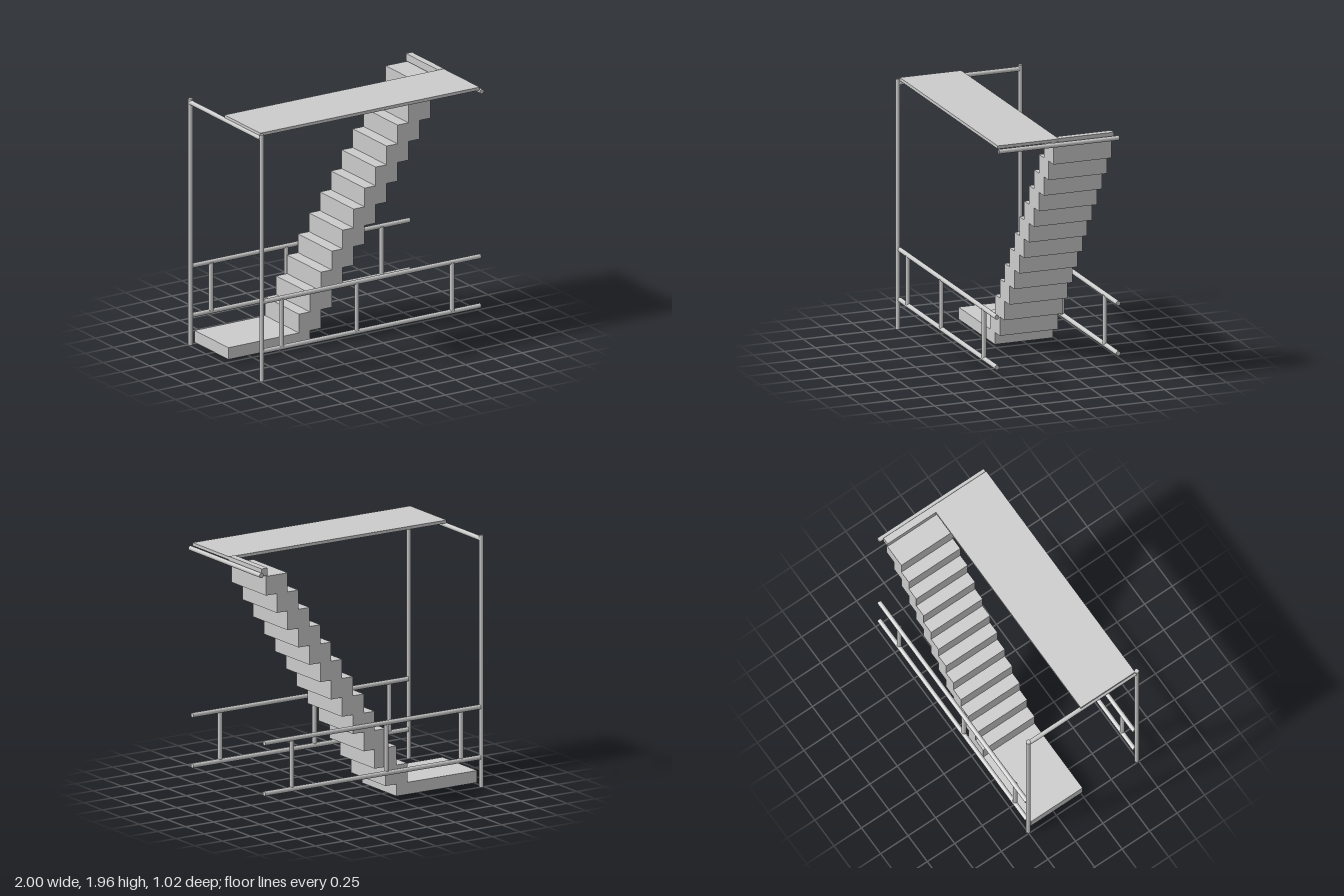
import * as THREE from 'three';

const material = new THREE.MeshStandardMaterial({ color: 0xcccccc });
const R = 0.018; // tube radius

export function createModel() {
  const model = new THREE.Group();
  model.name = 'staircaseFrame';

  const add = (name, geometry) => {
    const mesh = new THREE.Mesh(geometry, material);
    mesh.name = name;
    model.add(mesh);
    return mesh;
  };

  // Box given by its extents on each axis
  const box = (name, [x0, x1], [y0, y1], [z0, z1]) => {
    add(name, new THREE.BoxGeometry(x1 - x0, y1 - y0, z1 - z0))
      .position.set((x0 + x1) / 2, (y0 + y1) / 2, (z0 + z1) / 2);
  };

  // Round bar between two points
  const bar = (name, from, to) => {
    const a = new THREE.Vector3(...from);
    const b = new THREE.Vector3(...to);
    const mesh = add(name, new THREE.CylinderGeometry(R, R, a.distanceTo(b), 16));
    mesh.position.copy(a).add(b).multiplyScalar(0.5);
    mesh.quaternion.setFromUnitVectors(new THREE.Vector3(0, 1, 0), b.sub(a).normalize());
  };

  // Stair flight and bottom landing as one stepped profile
  const steps = 12, run = 0.0971, rise = 0.1478;
  const startX = -0.343, startY = 0.12;
  const profile = new THREE.Shape();
  profile.moveTo(-0.968, 0.027);
  profile.lineTo(startX + run, 0.027);
  for (let k = 0; k < steps; k++) { // underside, going up
    profile.lineTo(startX + run * (k + 1), startY + rise * k);
    profile.lineTo(startX + run * (k + 2), startY + rise * k);
  }
  profile.lineTo(startX + run * (steps + 1), startY + rise * steps);
  for (let k = steps - 1; k >= 0; k--) { // treads, going down
    profile.lineTo(startX + run * k, startY + rise * (k + 1));
    profile.lineTo(startX + run * k, startY + rise * k);
  }
  profile.lineTo(-0.968, startY);
  const stairs = add('stairsAndLanding',
    new THREE.ExtrudeGeometry(profile, { depth: 0.468, bevelEnabled: false }));
  stairs.position.z = -0.458;

  // Upper floor and the lip at the head of the stairs
  box('upperFloor', [-0.985, 0.96], [1.93, 1.954], [-0.018, 0.477]);
  box('stairHeadLip', [0.905, 0.96], [1.9, 1.957], [-0.458, -0.016]);

  // Corner posts and the cross bars carrying the floor ends
  for (const z of [0.493, -0.493]) bar('cornerPost', [-0.982, 0, z], [-0.982, 1.945, z]);
  bar('leftCrossBar', [-0.982, 1.915, 0.485], [-0.982, 1.915, -0.485]);
  bar('rightCrossBar', [0.98, 1.915, 0.477], [0.98, 1.915, -0.49]);

  // Guard rails with balusters, front and back
  for (const [side, railZ, balusterZ] of [['front', 0.482, 0.486], ['back', -0.495, -0.488]]) {
    for (const y of [0.23, 0.62]) bar(side + 'Rail', [-0.968, y, railZ], [0.96, y, railZ]);
    for (const x of [-0.803, -0.136, 0.709]) {
      bar(side + 'Baluster', [x, 0.238, balusterZ], [x, 0.62, balusterZ]);
    }
  }

  return model;
}
